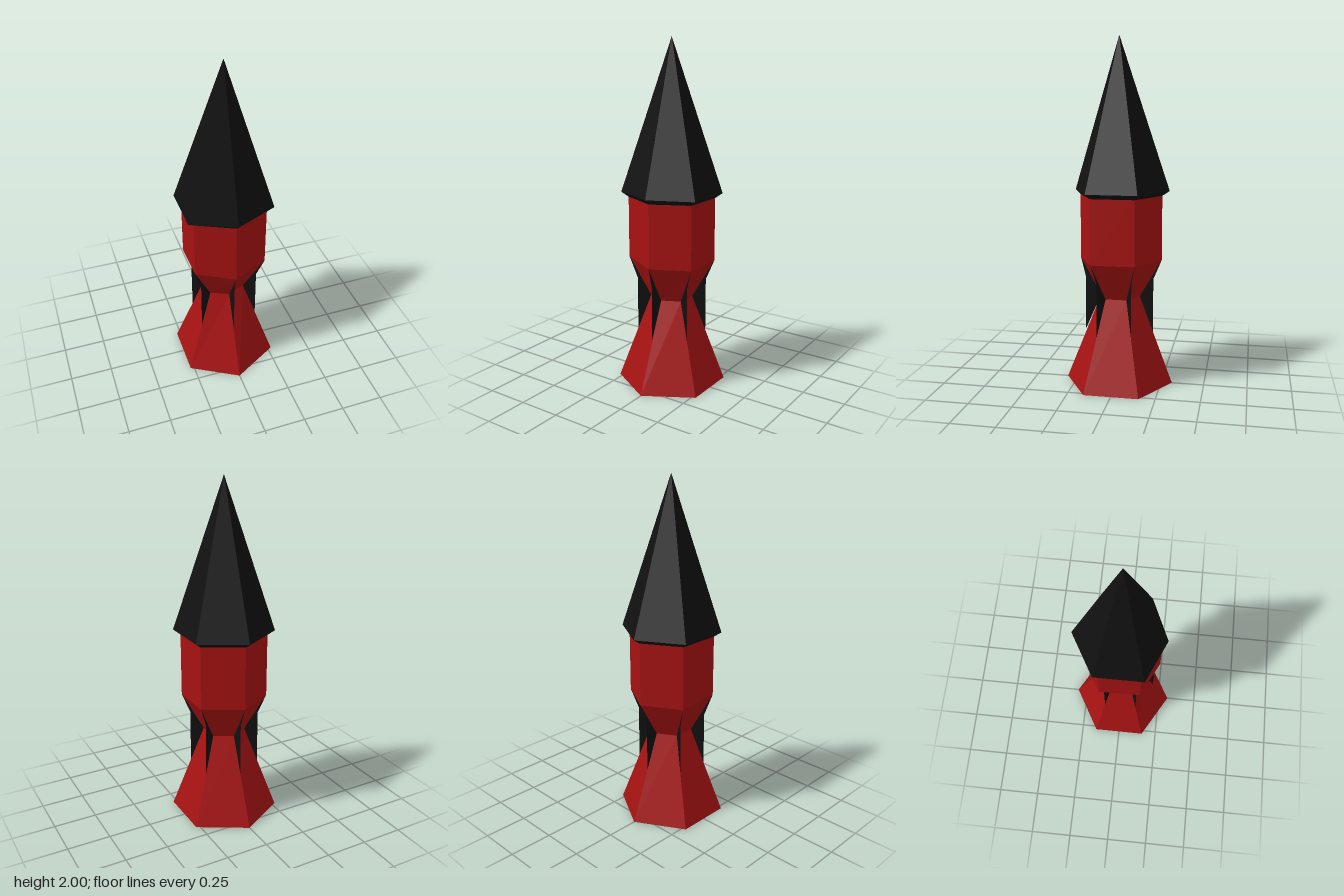
import * as THREE from 'three';

const SIDES = 6;
const red = new THREE.MeshStandardMaterial({ color: 0xa51212, flatShading: true });
const black = new THREE.MeshStandardMaterial({ color: 0x101010, flatShading: true });
const grey = new THREE.MeshStandardMaterial({ color: 0xcccccc, flatShading: true });
const finBlack = new THREE.MeshStandardMaterial({ color: 0x101010, flatShading: true, side: THREE.DoubleSide });

// Hexagonal ring with corners on the z axis; the front corner may sit slightly inward
function ring(y, radius, front = radius) {
  return Array.from({ length: SIDES }, (_, k) => {
    const a = (k * Math.PI) / 3;
    const r = k === 0 ? front : radius;
    return new THREE.Vector3(r * Math.sin(a), y, r * Math.cos(a));
  });
}

// Flat-faced skin through rings listed from bottom to top
function loft(rings) {
  const points = [];
  for (let i = 0; i + 1 < rings.length; i++) {
    const a = rings[i], b = rings[i + 1];
    for (let k = 0; k < SIDES; k++) {
      const n = (k + 1) % SIDES;
      points.push(a[k], a[n], b[n], a[k], b[n], b[k]);
    }
  }
  const geometry = new THREE.BufferGeometry().setFromPoints(points);
  geometry.computeVertexNormals();
  return geometry;
}

export function createModel() {
  const model = new THREE.Group();
  const add = (name, geometry, material) => {
    const mesh = new THREE.Mesh(geometry, material);
    mesh.name = name;
    model.add(mesh);
    return mesh;
  };

  const base = ring(0, 0.314);
  const waist = ring(0.515, 0.121, 0.108);
  const shoulder = ring(0.735, 0.248, 0.228);
  shoulder[5].y = 0.752; // one slightly uneven corner
  const collar = ring(1.107, 0.248, 0.228);

  // Flared nozzle and hull
  add('nozzle', loft([base, waist]), red);
  add('hull', loft([waist, shoulder, collar]), red);

  // Nose cone with a bevelled lip
  const tip = ring(2, 0);
  const lip = ring(1.135, 0.29, 0.256);
  add('noseLip', loft([collar, lip]), black);
  const cone = [];
  for (let k = 0; k < SIDES; k++) cone.push(lip[k], lip[(k + 1) % SIDES], tip[0]);
  const coneGeometry = new THREE.BufferGeometry().setFromPoints(cone);
  coneGeometry.computeVertexNormals();
  add('noseCone', coneGeometry, black);

  // Closed underside
  const floor = new THREE.CircleGeometry(0.314, SIDES);
  floor.rotateZ(Math.PI / 2);
  floor.rotateX(Math.PI / 2);
  add('underside', floor, grey);

  // Thin fins bridging the waist at each corner
  const fins = new THREE.Group();
  fins.name = 'fins';
  for (let k = 0; k < SIDES; k++) {
    const shape = new THREE.Shape([
      [k === 0 ? 0.108 : 0.121, 0.515],
      [0.2, 0.303],
      [0.2, 0.62],
      [k === 0 ? 0.228 : 0.248, shoulder[k].y],
    ].map(([r, y]) => new THREE.Vector2(r, y)));
    const fin = new THREE.Mesh(new THREE.ShapeGeometry(shape), finBlack);
    fin.name = 'fin';
    fin.rotation.y = (k * Math.PI) / 3 - Math.PI / 2;
    fins.add(fin);
  }
  model.add(fins);
  return model;
}
